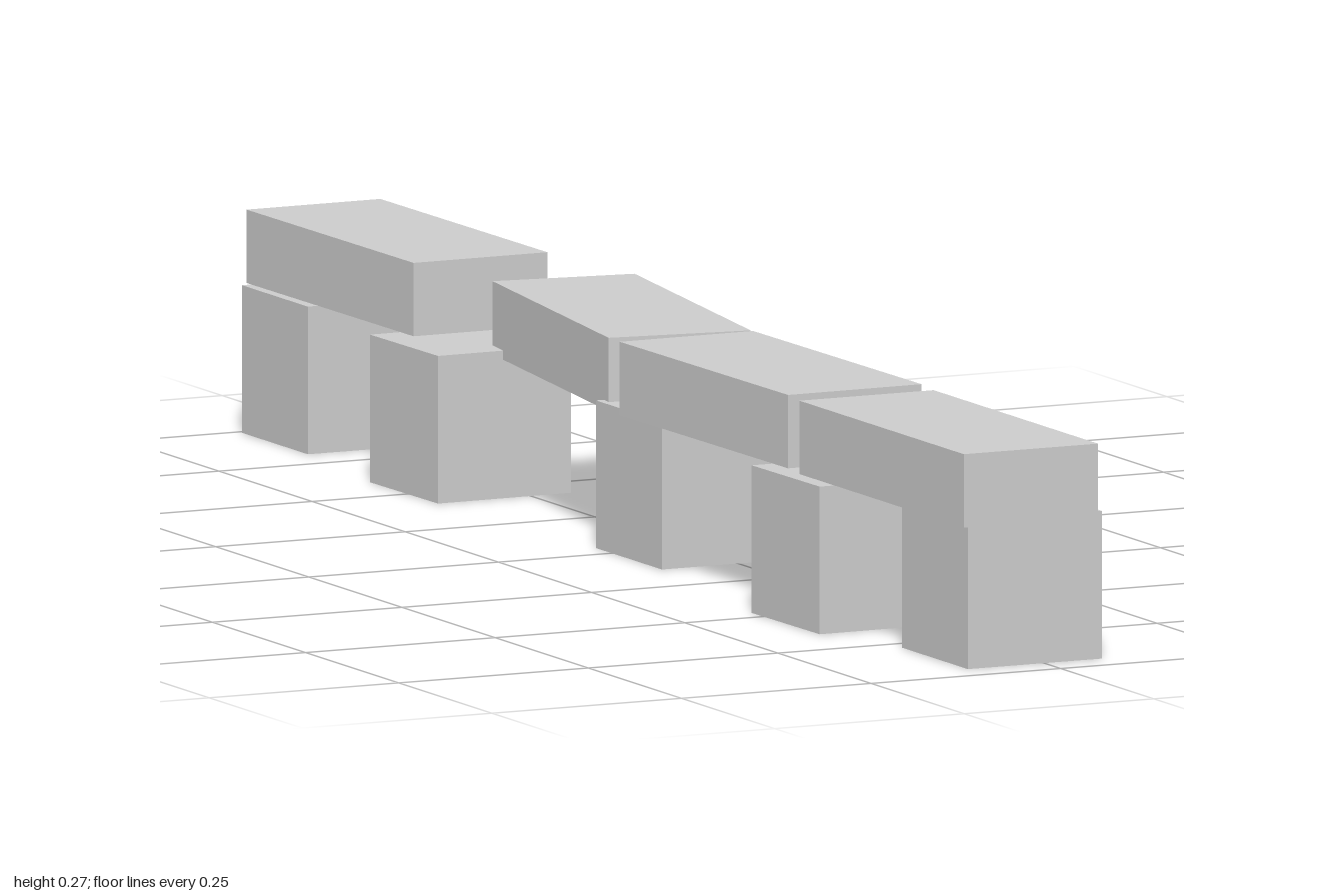
import * as THREE from 'three';

export function createModel() {
  const group = new THREE.Group();
  const stone = new THREE.MeshStandardMaterial({ color: 0xcccccc });
  stone.name = 'pale grey stone';

  const CUBE = 0.177, SLAB_H = 0.088, SLAB_L = 0.441;
  const blockGeometry = new THREE.BoxGeometry(CUBE, CUBE, CUBE);
  const slabGeometry = new THREE.BoxGeometry(CUBE, SLAB_H, SLAB_L);

  function place(name, geometry, x, y, z, turn) {
    const mesh = new THREE.Mesh(geometry, stone);
    mesh.name = name;
    mesh.position.set(x, y, z);
    mesh.rotation.y = turn;
    group.add(mesh);
  }

  // Supporting cubes, front to back: x, z, turn
  [
    [-0.012, 0.867, 0],
    [-0.057, 0.557, 0.015],
    [-0.012, 0.046, 0],
    [-0.036, -0.510, 0.015],
    [-0.012, -0.904, 0],
  ].forEach(([x, z, turn], i) => place('supportBlock' + (i + 1), blockGeometry, x, CUBE / 2, z, turn));

  // Slabs laid along the supports: x, centre height, z, turn
  [
    [-0.039, 0.222, 0.779, 0],
    [-0.035, 0.222, 0.293, 0.012],
    [0.026, 0.210, -0.231, -0.14],
    [-0.001, 0.222, -0.779, 0.008],
  ].forEach(([x, y, z, turn], i) => place('topSlab' + (i + 1), slabGeometry, x, y, z, turn));

  return group;
}
